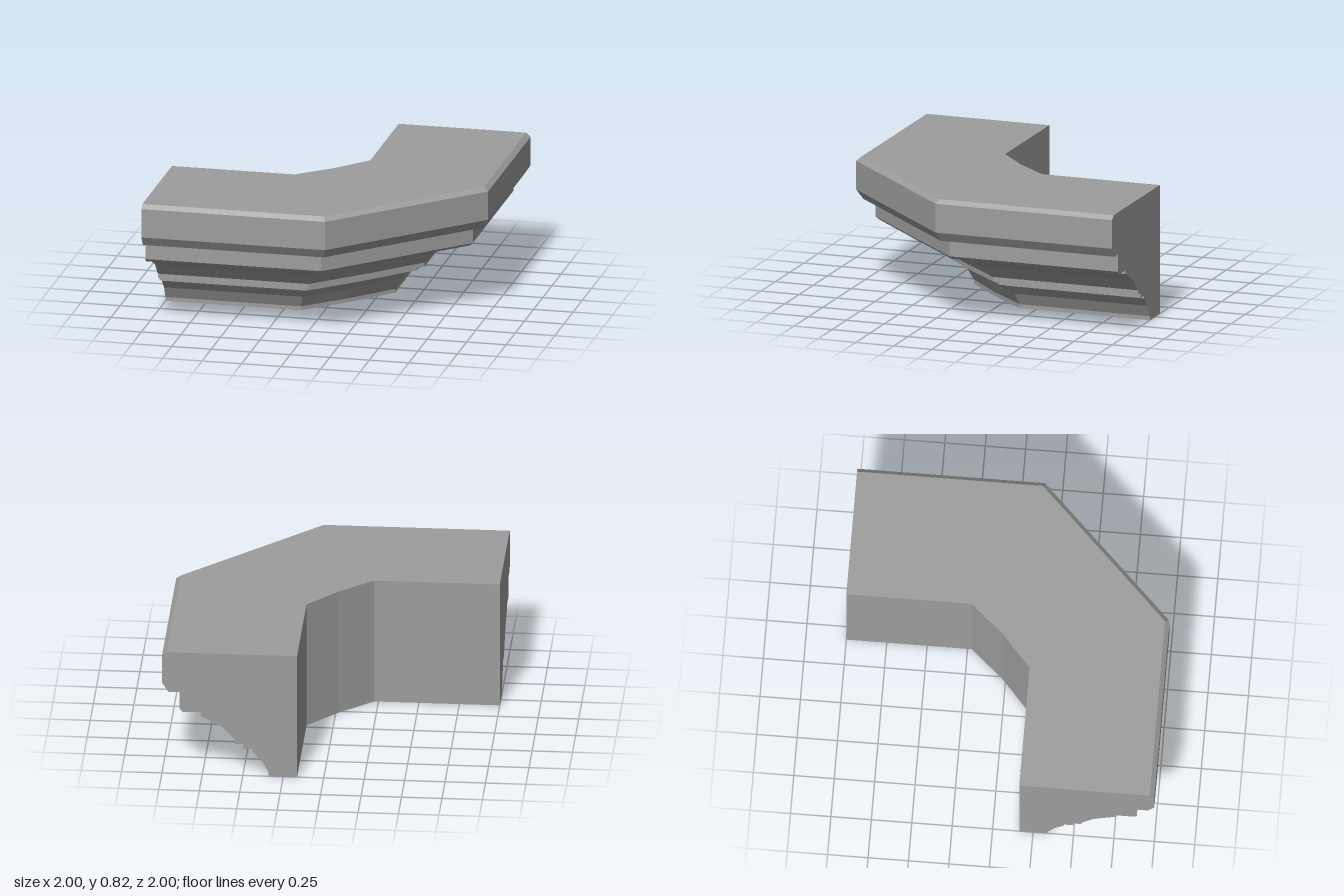
import * as THREE from 'three';

// Moulding cross-section: [distance outward, height], counter-clockwise from the foot
const BACK = 0.165;
const PROFILE = [
  [0.34, 0], [0.34, 0.025], [0.38, 0.1], [0.44, 0.162], [0.44, 0.18], // lower cove
  [0.5, 0.18], [0.5, 0.213], [0.55, 0.213], [0.55, 0.24],             // small steps
  [0.625, 0.322], [0.762, 0.393], [0.762, 0.418],                     // main cove
  [0.872, 0.418], [0.892, 0.438], [0.892, 0.55],                      // middle band
  [0.96, 0.55], [1, 0.61], [1, 0.793], [0.972, 0.818],                // top band
  [BACK, 0.818], [BACK, 0],                                           // flat back
];

// Plan positions of one profile point along the bent path: end, corner, middle, corner, end
function planPath(d) {
  const k = -0.224 + 0.462 * (d - BACK);
  const bulge = 0.0125 * (1 - d) / (1 - BACK);
  const m = (k + d) / 2 + bulge;
  return [[-1, d], [k, d], [m, m], [d, k], [d, -1]];
}

function createMouldingGeometry() {
  const n = PROFILE.length;
  const paths = PROFILE.map(([d]) => planPath(d));
  const stations = paths[0].length;
  const positions = [];
  const index = [];

  for (let s = 0; s < stations; s++) {
    PROFILE.forEach(([, y], i) => positions.push(paths[i][s][0], y, paths[i][s][1]));
  }

  // Skin between neighbouring cross-sections
  for (let s = 0; s < stations - 1; s++) {
    for (let i = 0; i < n; i++) {
      const j = (i + 1) % n;
      const a = s * n + i, b = a + n, c = (s + 1) * n + j, d = s * n + j;
      index.push(a, b, c, a, c, d);
    }
  }

  // End caps
  const outline = PROFILE.map(([d, y]) => new THREE.Vector2(d, y));
  const last = (stations - 1) * n;
  for (const [a, b, c] of THREE.ShapeUtils.triangulateShape(outline, [])) {
    index.push(a, b, c, last + a, last + c, last + b);
  }

  const indexed = new THREE.BufferGeometry();
  indexed.setAttribute('position', new THREE.Float32BufferAttribute(positions, 3));
  indexed.setIndex(index);
  const geometry = indexed.toNonIndexed();
  geometry.computeVertexNormals();
  return geometry;
}

export function createModel() {
  const group = new THREE.Group();
  group.name = 'cornerCornice';
  const material = new THREE.MeshStandardMaterial({ color: 0x9d9d9d, flatShading: true });
  const moulding = new THREE.Mesh(createMouldingGeometry(), material);
  moulding.name = 'moulding';
  group.add(moulding);
  return group;
}
